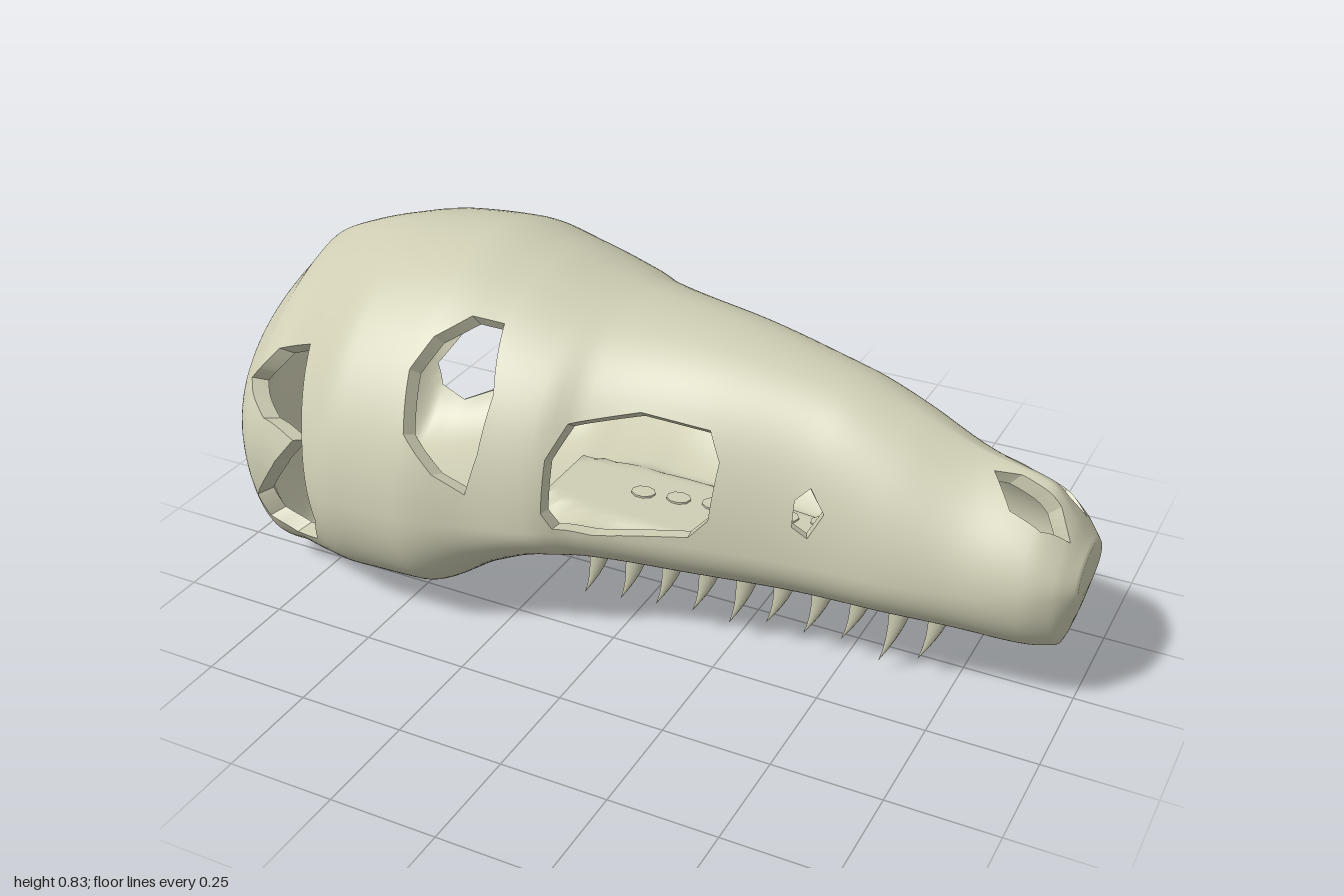
import * as THREE from 'three';

const BONE = new THREE.MeshStandardMaterial({ color: 0xcfceb4 });
const ROWS = 140, COLS = 112, WALL = 0.03, ANGLE_SCALE = 0.35;
const { smoothstep, clamp } = THREE.MathUtils;

// Cross-sections along the skull: x, top, widest height, bottom, half width
const SECTIONS = [
  [-1, .52, .48, .44, .07], [-.98, .56, .44, .38, .19], [-.96, .6, .4, .25, .26],
  [-.93, .65, .36, .09, .34], [-.88, .71, .34, .01, .395], [-.86, .735, .335, 0, .405],
  [-.8, .77, .33, .01, .415], [-.7, .805, .33, .025, .45], [-.58, .825, .33, .045, .485],
  [-.42, .835, .33, .055, .485], [-.26, .805, .33, .135, .44], [-.12, .765, .33, .18, .4],
  [-.05, .75, .33, .17, .355], [.2, .722, .32, .16, .28], [.45, .67, .31, .16, .225],
  [.6, .62, .31, .16, .215], [.75, .56, .31, .155, .19], [.9, .52, .32, .145, .165],
  [.96, .45, .33, .15, .135], [.985, .41, .33, .22, .11], [1, .39, .33, .29, .09],
];

// Upper and lower roundness along x: below 1 is boxy, above 1 is pinched
const ROUNDNESS = [
  [-1, 1, 1], [-.88, 1.4, .6], [-.8, 1.4, .55], [-.58, 1.05, .5], [-.42, 1, .5],
  [-.05, .88, .85], [.45, .9, .85], [.9, 1.6, .95], [1, 1, 1],
];

// Openings: side ones are outlined in x, y; upper ones in x, z
const HOLES = [
  { kind: 'side', points: [[-.82, .58], [-.72, .62], [-.68, .46], [-.65, .25], [-.68, .17], [-.78, .13],
    [-.85, .16], [-.87, .22], [-.78, .35], [-.71, .43], [-.82, .44], [-.89, .5]] },
  { kind: 'side', points: [[-.42, .65], [-.39, .71], [-.33, .745], [-.26, .735], [-.23, .62], [-.24, .5],
    [-.26, .41], [-.33, .45], [-.4, .53]] },
  { kind: 'side', points: [[-.1, .38], [-.1, .5], [-.07, .57], [.07, .6], [.22, .58], [.25, .52], [.24, .39],
    [.2, .345], [0, .325], [-.08, .34]] },
  { kind: 'side', points: [[.415, .4], [.415, .46], [.445, .49], [.48, .44], [.45, .38]] },
  { kind: 'upper', points: [[.785, .035], [.84, .09], [.91, .095], [.965, .06], [.93, .025], [.84, .018]] },
];

// Monotone interpolation of one table column over x
function channel(table, c) {
  const n = table.length, X = table.map(s => s[0]), Y = table.map(s => s[c]);
  const d = X.slice(1).map((x, i) => (Y[i + 1] - Y[i]) / (x - X[i]));
  const m = X.map((_, i) => i === 0 ? d[0] : i === n - 1 ? d[n - 2]
    : d[i - 1] * d[i] <= 0 ? 0 : 2 * d[i - 1] * d[i] / (d[i - 1] + d[i]));
  return x => {
    let i = 0;
    while (i < n - 2 && x > X[i + 1]) i++;
    const h = X[i + 1] - X[i], t = clamp((x - X[i]) / h, 0, 1), s = 1 - t;
    return Y[i] * s * s * (1 + 2 * t) + m[i] * h * t * s * s + Y[i + 1] * t * t * (3 - 2 * t) - m[i + 1] * h * t * t * s;
  };
}
const [top, mid, bottom, width] = [1, 2, 3, 4].map(c => channel(SECTIONS, c));
const [upperPower, lowerPower] = [1, 2].map(c => channel(ROUNDNESS, c));

// Point of the skin; angle 0 is the crown, +-PI the underside
function skin(x, a, wall) {
  const c = Math.cos(a), s = Math.sin(a), m = mid(x), up = c >= 0;
  const half = Math.max(up ? top(x) - m - wall : m - bottom(x) - wall, .01);
  const power = (up ? upperPower : lowerPower)(x);
  const z = Math.sign(s) * Math.pow(Math.abs(s), power) * Math.max(width(x) - wall, .01);
  let y = m + half * c;
  // Palate: a groove in the underside between the jaw edges
  if (!up) {
    const edge = Math.min(.45 * width(x), .13);
    const mask = smoothstep(x, -.33, -.27) * (1 - smoothstep(x, .68, .74))
      * (1 - smoothstep(Math.abs(z), edge - .02, edge + .02));
    y += mask * Math.max(0, .2 + wall - y);
  }
  return [x * (1 - wall), y, z];
}

// Hole outline point to skin parameters
function toSkin([x, v], kind) {
  const m = mid(x), half = v > m ? top(x) - m : m - bottom(x);
  const a = kind === 'side' ? Math.acos(clamp((v - m) / half, -1, 1))
    : Math.asin(Math.pow(Math.min(v / width(x), 1), 1 / upperPower(x)));
  return [x, a * ANGLE_SCALE];
}

function inside([x, y], poly) {
  let hit = false;
  poly.forEach(([ax, ay], i) => {
    const [bx, by] = poly[(i + 1) % poly.length];
    if ((ay > y) !== (by > y) && x < ax + (bx - ax) * (y - ay) / (by - ay)) hit = !hit;
  });
  return hit;
}

function nearest([x, y], poly) {
  let best = null, dist = Infinity;
  poly.forEach(([ax, ay], i) => {
    const [bx, by] = poly[(i + 1) % poly.length], dx = bx - ax, dy = by - ay;
    const t = clamp(((x - ax) * dx + (y - ay) * dy) / (dx * dx + dy * dy || 1), 0, 1);
    const p = [ax + dx * t, ay + dy * t], d = Math.hypot(p[0] - x, p[1] - y);
    if (d < dist) { dist = d; best = p; }
  });
  return best;
}

function geometry(points, index) {
  const g = new THREE.BufferGeometry();
  g.setAttribute('position', new THREE.Float32BufferAttribute(points.flat(), 3));
  if (index) g.setIndex(index);
  g.computeVertexNormals();
  return g;
}

function makeSkull() {
  const id = (i, j) => i * COLS + (j + COLS) % COLS;
  const params = [], cells = [];
  for (let i = 0; i <= ROWS; i++) {
    const u = 2 * i / ROWS - 1, x = .45 * u + .55 * Math.sin(u * Math.PI / 2);
    for (let j = 0; j < COLS; j++) params.push([x, (2 * j / COLS - 1) * Math.PI * ANGLE_SCALE]);
  }
  const polys = HOLES.map(({ kind, points }) => points.flatMap(([x, v], i) => {
    const [x2, v2] = points[(i + 1) % points.length];
    return [0, .2, .4, .6, .8].map(t => toSkin([x + (x2 - x) * t, v + (v2 - v) * t], kind));
  }));

  // Drop the cells inside the openings
  const rims = polys.map(() => new Set());
  const cut = [], step = Math.PI * ANGLE_SCALE / COLS;
  for (let i = 0; i < ROWS; i++) for (let j = 0; j < COLS; j++) {
    const corners = [id(i, j), id(i + 1, j), id(i + 1, j + 1), id(i, j + 1)];
    const centre = [(params[corners[0]][0] + params[corners[1]][0]) / 2, Math.abs(params[corners[0]][1] + step)];
    const h = polys.findIndex(p => inside(centre, p));
    if (h < 0) cells.push(corners);
    else { cut.push(corners); corners.forEach(k => rims[h].add(k)); }
  }
  // Pull the rim vertices onto the outlines, then onto the outline corners
  const kept = new Set(cells.flat());
  rims.forEach((rim, h) => {
    const edge = [...rim].filter(k => kept.has(k));
    for (const k of edge) {
      const p = params[k], side = p[1] < 0 ? -1 : 1, q = nearest([p[0], Math.abs(p[1])], polys[h]);
      params[k] = [q[0], q[1] * side];
    }
    for (const point of HOLES[h].points) {
      const c = toSkin(point, HOLES[h].kind);
      for (const side of [-1, 1]) {
        const gap = k => Math.hypot(params[k][0] - c[0], params[k][1] - c[1] * side);
        const k = edge.reduce((a, b) => gap(b) < gap(a) ? b : a);
        if (gap(k) < .03) params[k] = [c[0], c[1] * side];
      }
    }
  });

  const layer = wall => [...params.map(([x, a]) => skin(x, a / ANGLE_SCALE, wall)),
    [-1 + wall, mid(-1), 0], [1 - wall, mid(1), 0]];
  const outer = layer(0), inner = layer(WALL);
  const outFaces = cells.flatMap(([a, b, c, d]) => [a, c, b, a, d, c]);
  const end = params.length;
  for (let j = 0; j < COLS; j++) {
    outFaces.push(end, id(0, j + 1), id(0, j), end + 1, id(ROWS, j), id(ROWS, j + 1));
  }
  const inFaces = outFaces.map((_, i) => outFaces[i - i % 3 + [0, 2, 1][i % 3]]);

  // Bone thickness around every opening
  const open = new Set(), walls = [];
  const around = (q, f) => q.forEach((a, n) => f(a, q[(n + 1) % 4]));
  cut.forEach(q => around(q, (a, b) => open.add(a + '_' + b)));
  cells.forEach(q => around(q, (a, b) => {
    if (!open.has(b + '_' + a)) return;
    walls.push(outer[a], outer[b], inner[b], outer[a], inner[b], inner[a]);
  }));

  const rimMaterial = BONE.clone();
  rimMaterial.side = THREE.DoubleSide;
  const group = new THREE.Group();
  group.name = 'skull';
  const add = (name, g, m) => { const mesh = new THREE.Mesh(g, m); mesh.name = name; group.add(mesh); };
  add('outerBone', geometry(outer, outFaces), BONE);
  add('innerBone', geometry(inner, inFaces), BONE);
  add('openingRims', geometry(walls), rimMaterial);
  return group;
}

// Tooth: a cone pointing down and curving backwards
function makeTooth(length, radius) {
  const g = new THREE.ConeGeometry(radius, length, 9, 6).rotateX(Math.PI).translate(0, -length / 2, 0);
  const p = g.attributes.position;
  for (let i = 0; i < p.count; i++) {
    const t = -p.getY(i) / length, swell = 1 + .7 * t * (1 - t);
    p.setXYZ(i, p.getX(i) * swell - .045 * t * t, p.getY(i), p.getZ(i) * swell * .8);
  }
  g.computeVertexNormals();
  return g;
}

export function createModel() {
  const model = new THREE.Group();
  model.add(makeSkull());
  // Two parallel tooth rows, both slanting the same way
  const teeth = new THREE.Group();
  teeth.name = 'teeth';
  const tips = [.065, .065, .07, .07, .055, .075, .065, .07, .03, .055];
  tips.forEach((tip, i) => {
    const g = makeTooth(.235 - tip, .03);
    for (const [name, shift] of [['leftRowTooth', 0], ['rightRowTooth', -.21]]) {
      const tooth = new THREE.Mesh(g, BONE);
      tooth.name = name;
      tooth.position.set(-.055 + i * .0855, .235, .2 - .0125 * i + shift);
      teeth.add(tooth);
    }
  });
  model.add(teeth);
  return model;
}
